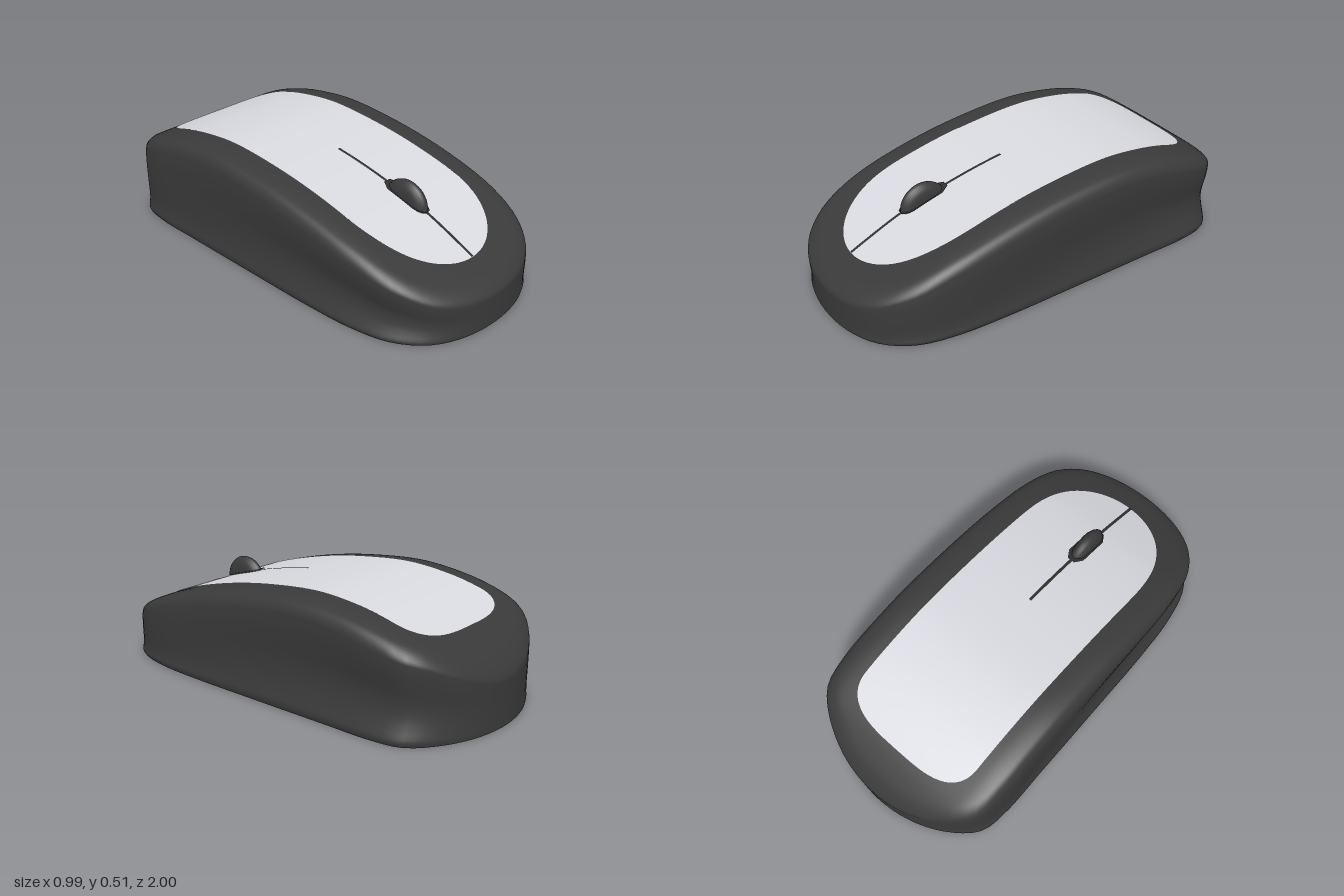
import * as THREE from 'three';

const spline = (xs, ys) => {
  const f = new THREE.CubicInterpolant(xs, ys, 1);
  return (x) => f.evaluate(x)[0];
};

// Height of the back along the length
const crown = spline(
  [-1, -0.97, -0.9, -0.8, -0.6, -0.4, -0.25, 0, 0.2, 0.4, 0.6, 0.8, 0.9, 0.97, 1],
  [0.242, 0.272, 0.328, 0.39, 0.46, 0.495, 0.504, 0.485, 0.455, 0.41, 0.35, 0.265, 0.218, 0.188, 0.178]);

// Quarter-round drop: 0 up to start, 1 at end
function roundOff(v, start, end) {
  const u = THREE.MathUtils.clamp((v - start) / (end - start), 0, 1);
  return 1 - Math.sqrt(1 - u * u);
}

// Height of the shell, with rounded shoulders along both sides
const topY = (x, z) => crown(z) - 0.05 * roundOff(Math.abs(x), 0.37, 0.5);

// How far the side walls pinch in, from foot (0) to shoulder (1)
const pinch = spline([0, 0.05, 0.13, 0.3, 0.5, 0.75, 0.9, 1], [0.02, 0, 0.018, 0.045, 0.052, 0.036, 0.03, 0.034]);

// Plan outline, half mirrored to a closed loop
function outline(count) {
  const half = [[0, 1], [0.2, 0.972], [0.34, 0.9], [0.435, 0.775], [0.478, 0.6], [0.493, 0.35], [0.495, 0],
    [0.495, -0.4], [0.493, -0.66], [0.467, -0.79], [0.365, -0.89], [0.2, -0.97], [0, -1]];
  const mirrored = half.slice(1, -1).reverse().map(([x, z]) => [-x, z]);
  const pts = [...half, ...mirrored].map(([x, z]) => new THREE.Vector3(x, 0, z));
  return new THREE.CatmullRomCurve3(pts, true).getSpacedPoints(count).slice(0, count);
}

// Surface from rows of points; closed joins the row ends
function gridGeometry(rows, closed) {
  const n = rows[0].length;
  const index = [];
  for (let j = 0; j < rows.length - 1; j++) {
    for (let i = 0; i < (closed ? n : n - 1); i++) {
      const k = (i + 1) % n;
      const a = j * n + i, b = j * n + k, c = (j + 1) * n + k, d = (j + 1) * n + i;
      index.push(a, b, c, a, c, d);
    }
  }
  const geo = new THREE.BufferGeometry();
  geo.setAttribute('position', new THREE.Float32BufferAttribute(rows.flat(2), 3));
  geo.setIndex(index);
  geo.computeVertexNormals();
  return geo;
}

// Thin skin lying on the shell between z0 and z1, with a half width along z
function skinGeometry(z0, z1, halfWidth, lift, steps, across) {
  const rows = [];
  for (let j = 0; j <= steps; j++) {
    // rows crowd together at both ends, where the outline is round
    const z = z1 + (z0 - z1) * (1 - Math.cos((Math.PI * j) / steps)) / 2;
    const w = halfWidth(z);
    const row = [];
    for (let i = 0; i <= across; i++) {
      const x = w * (2 * i / across - 1);
      row.push([x, topY(x, z) + lift, z]);
    }
    rows.push(row);
  }
  return gridGeometry(rows, false);
}

export function createModel() {
  const group = new THREE.Group();
  const dark = new THREE.MeshStandardMaterial({ color: 0x3a3a3a });
  const silver = new THREE.MeshStandardMaterial({ color: 0xd9dae0 });
  const black = new THREE.MeshStandardMaterial({ color: 0x303030 });
  dark.side = silver.side = black.side = THREE.DoubleSide;
  const add = (name, geo, mat) => {
    const mesh = new THREE.Mesh(geo, mat);
    mesh.name = name;
    group.add(mesh);
    return mesh;
  };

  // Shell walls: grips pinched deeper at the right front and left back
  const plan = outline(120);
  const rim = 0.035;
  const rows = [];
  for (let j = 0; j <= 20; j++) {
    const t = j / 20;
    rows.push(plan.map((p) => {
      const twist = THREE.MathUtils.clamp(-p.x * p.z / 0.28, -1, 1);
      const loss = pinch(t) * (1 + 0.6 * twist * Math.sin(Math.PI * t));
      return [p.x * (1 - loss), (topY(p.x, p.z) - rim) * t, p.z];
    }));
  }
  // Shell top: rings closing to the middle over a rounded rim
  const scales = [];
  for (let j = 1; j <= 16; j++) scales.push(1 - 0.28 * (1 - Math.cos((j / 16) * Math.PI / 2)));
  for (let j = 1; j <= 24; j++) scales.push(0.72 * (1 - j / 24));
  for (const s of scales) {
    const drop = rim * roundOff(s, 0.92, 1);
    rows.push(plan.map((p) => [p.x * s * (1 - pinch(1)), topY(p.x * s, p.z * s) - drop, p.z * s]));
  }
  add('shell', gridGeometry(rows, true), dark);

  // Flat underside
  add('base', gridGeometry([plan.map(() => [0, 0, 0]), rows[0]], true), dark);

  // Top panel: full rounded front, tighter corners and a slight bow at the back
  const panelWidth = (z) => {
    if (z > 0.38) return 0.33 * Math.sqrt(Math.max(0, 1 - ((z - 0.38) / 0.47) ** 2.8));
    if (z < -0.64) return 0.33 * Math.pow(Math.max(0, 1 - ((-0.64 - z) / 0.165) ** 2.4), 0.3);
    return 0.33;
  };
  add('topPanel', skinGeometry(-0.805, 0.85, panelWidth, 0.004, 80, 12), silver);

  // Line between the two buttons
  add('buttonSeam', skinGeometry(0.08, 0.85, () => 0.007, 0.007, 40, 1), black);

  // Six-sided wheel surround
  const surroundWidth = (z) => 0.043 - 0.025 * THREE.MathUtils.clamp((Math.abs(z - 0.487) - 0.075) / 0.04, 0, 1);
  add('wheelSurround', skinGeometry(0.372, 0.602, surroundWidth, 0.01, 30, 2), black);

  // Scroll wheel, barrel-shaped tread
  const tread = [[0, -0.035], [0.065, -0.035], [0.085, -0.031], [0.101, -0.022], [0.111, -0.011], [0.115, 0],
    [0.111, 0.011], [0.101, 0.022], [0.085, 0.031], [0.065, 0.035], [0, 0.035]].map(([r, x]) => new THREE.Vector2(r, x));
  const wheel = add('scrollWheel', new THREE.LatheGeometry(tread, 40), dark);
  wheel.rotation.z = Math.PI / 2;
  wheel.position.set(0, 0.357, 0.487);

  return group;
}
